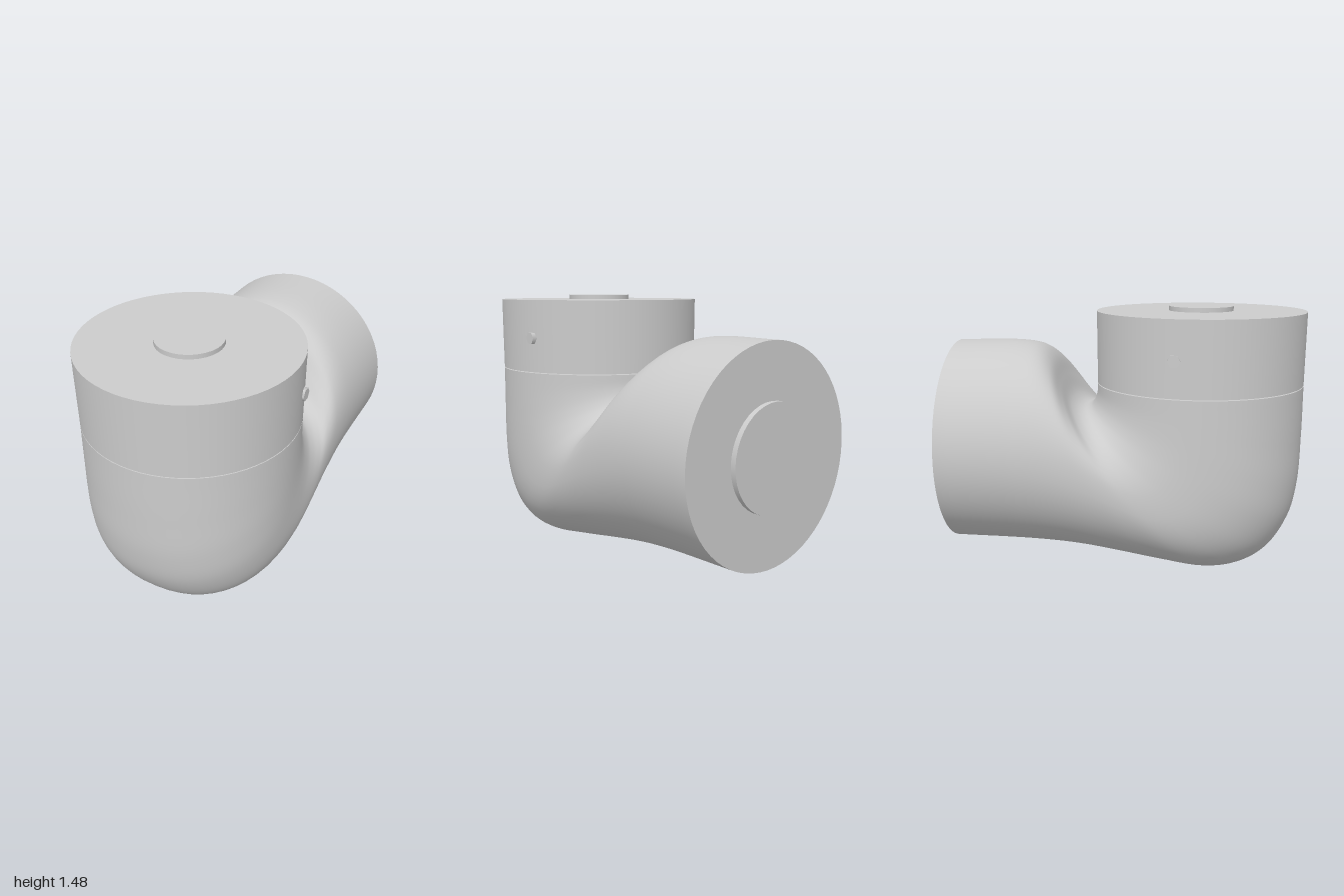
import * as THREE from 'three';

const R = 0.58, POST_Z = 0.42, PIPE_Y = 0.69;
const grey = new THREE.MeshStandardMaterial({ color: 0xcccccc });

// Each station: outer edge (z, y) and inner edge (z, y) of a cross-section of the bend
const STATIONS = [
  [1, 1.045, -0.16, 1.045], [1, 0.75, -0.163, 0.99], [0.99, 0.5, -0.175, 0.95],
  [0.945, 0.3, -0.195, 0.922], [0.83, 0.12, -0.225, 0.91], [0.68, 0.03, -0.265, 0.922],
  [0.5, 0, -0.31, 0.965], [0.25, 0.025, -0.36, 1.07], [0, 0.058, -0.41, 1.18],
  [-0.25, 0.088, -0.47, 1.24], [-0.5, 0.102, -0.56, 1.268], [-0.97, 0.11, -0.97, 1.27],
];

// Loft oval rings between the outer and inner edge curves
function elbowGeometry(rings = 66, sides = 64) {
  const edge = (k) => new THREE.CatmullRomCurve3(
    STATIONS.map((s) => new THREE.Vector3(0, s[k + 1], s[k])), false, 'centripetal');
  const outer = edge(0), inner = edge(2);
  const pos = [], index = [];
  for (let i = 0; i <= rings; i++) {
    const t = i / rings;
    const o = outer.getPoint(t), n = inner.getPoint(t);
    const c = o.clone().add(n).multiplyScalar(0.5);
    const u = o.sub(n).multiplyScalar(0.5);
    // slightly squarer section in the middle of the bend
    const p = 1 - 0.14 * Math.sin(Math.PI * t) ** 2;
    for (let j = 0; j < sides; j++) {
      const a = (j / sides) * Math.PI * 2;
      const cs = Math.cos(a), sn = Math.sin(a);
      const k = Math.sign(cs) * Math.abs(cs) ** p;
      pos.push(R * Math.sign(sn) * Math.abs(sn) ** p, c.y + u.y * k, c.z + u.z * k);
      if (i < rings) {
        const a0 = i * sides + j, b0 = i * sides + (j + 1) % sides;
        index.push(a0, a0 + sides, b0, b0, a0 + sides, b0 + sides);
      }
    }
  }
  const g = new THREE.BufferGeometry();
  g.setAttribute('position', new THREE.Float32BufferAttribute(pos, 3));
  g.setIndex(index);
  g.computeVertexNormals();
  return g;
}

export function createModel() {
  const model = new THREE.Group();
  model.name = 'pipeElbow';
  const add = (name, geometry, x, y, z) => {
    const mesh = new THREE.Mesh(geometry, grey);
    mesh.name = name;
    mesh.position.set(x, y, z);
    model.add(mesh);
    return mesh;
  };

  // Bent body and its two flat ends
  add('elbowBody', elbowGeometry(), 0, 0, 0);
  add('bodyTop', new THREE.CircleGeometry(R, 64).rotateX(-Math.PI / 2), 0, 1.045, POST_Z);
  add('pipeEnd', new THREE.CircleGeometry(R, 64).rotateY(Math.PI), 0, PIPE_Y, -0.97);

  // Cap on the upright end, with a raised disc
  add('cap', new THREE.CylinderGeometry(R + 0.003, R, 0.4, 64), 0, 1.25, POST_Z);
  add('capDisc', new THREE.CylinderGeometry(0.18, 0.18, 0.03, 32), 0, 1.46, POST_Z);

  // Raised disc on the pipe end
  add('endDisc', new THREE.CylinderGeometry(0.285, 0.285, 0.04, 40).rotateX(Math.PI / 2), 0, PIPE_Y, -0.98);

  // Small pointed pegs on both sides of the cap
  for (const side of [-1, 1]) {
    const peg = new THREE.CylinderGeometry(0.035, 0.035, 0.04, 6).rotateZ(Math.PI / 2);
    add(side > 0 ? 'leftPeg' : 'rightPeg', peg, side * 0.563, 1.24, 0.29);
  }
  return model;
}
